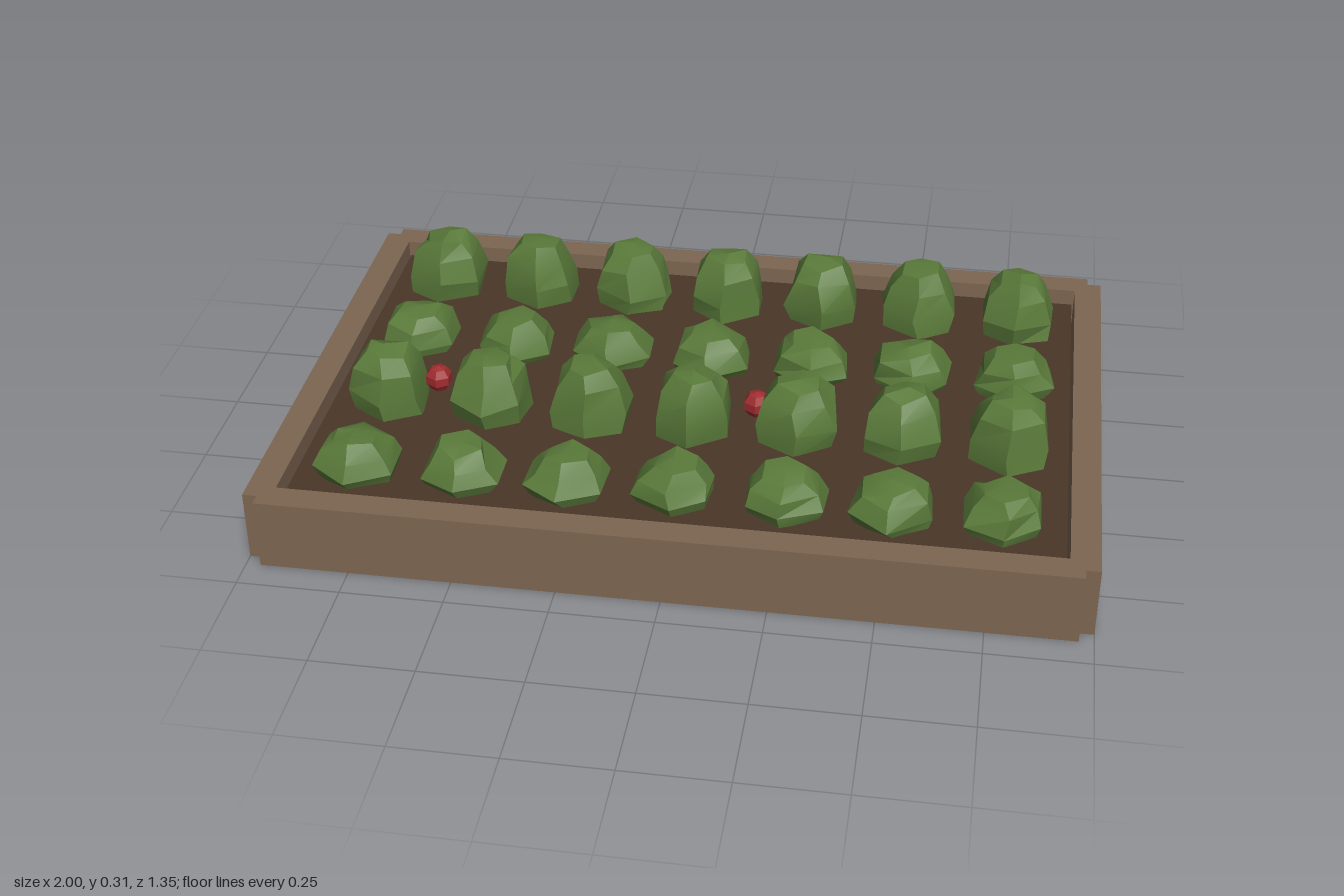
import * as THREE from 'three';
import { toCreasedNormals } from 'three/addons/utils/BufferGeometryUtils.js';

function material(name, color) {
  const m = new THREE.MeshStandardMaterial({ color });
  m.name = name;
  return m;
}

// Small seeded generator giving values in -1..1
function seeded(seed) {
  let s = seed;
  return () => {
    s = (s * 16807) % 2147483647;
    return (s / 2147483647) * 2 - 1;
  };
}

// Faceted six-sided dome from [radius, height] rings and an apex
function domeGeometry(rings, apex, rand) {
  const sides = 6, pts = [], index = [];
  rings.forEach(([r, y], k) => {
    for (let i = 0; i < sides; i++) {
      const a = (i / sides) * Math.PI * 2 + rand() * 0.13;
      const rr = r * (1 + rand() * 0.08);
      pts.push(Math.sin(a) * rr, y + (k ? rand() * 0.01 : 0), Math.cos(a) * rr);
    }
  });
  pts.push(rand() * 0.015, apex, rand() * 0.015);
  const top = rings.length * sides;
  for (let k = 0; k < rings.length; k++) {
    for (let i = 0; i < sides; i++) {
      const j = (i + 1) % sides;
      const a = k * sides + i, b = k * sides + j;
      if (k === rings.length - 1) index.push(a, b, top);
      else index.push(a, b, b + sides, a, b + sides, a + sides);
    }
  }
  const g = new THREE.BufferGeometry();
  g.setAttribute('position', new THREE.Float32BufferAttribute(pts, 3));
  g.setIndex(index);
  return toCreasedNormals(g, 0.42);
}

export function createModel() {
  const model = new THREE.Group();
  model.name = 'gardenBed';
  const wood = material('wood', 0x7d6652);
  const soil = material('soil', 0x4a3728);
  const leaf = material('leaf', 0x5a7a3a);
  const berryRed = material('berryRed', 0xa02c30);

  const add = (name, geometry, mat, x, y, z) => {
    const mesh = new THREE.Mesh(geometry, mat);
    mesh.name = name;
    mesh.position.set(x, y, z);
    model.add(mesh);
    return mesh;
  };

  // Plank frame, with the corners stepped in
  for (const s of [-1, 1]) {
    add(s > 0 ? 'frontPlank' : 'backPlank', new THREE.BoxGeometry(1.93, 0.18, 0.07), wood, 0, 0.09, s * 0.64);
    add(s > 0 ? 'leftPlank' : 'rightPlank', new THREE.BoxGeometry(0.07, 0.18, 1.29), wood, s * 0.965, 0.09, 0);
  }

  // Soil, leaving a narrow gap inside the frame
  add('soil', new THREE.BoxGeometry(1.85, 0.135, 1.2), soil, 0, 0.0725, 0);

  // Four rows of shrubs, alternately tall and low
  const tall = [[0.1, 0.13], [0.105, 0.19], [0.088, 0.255], [0.056, 0.294]];
  const low = [[0.09, 0.13], [0.108, 0.165], [0.088, 0.207], [0.056, 0.235]];
  const rand = seeded(4711);
  for (let row = 0; row < 4; row++) {
    const isTall = row % 2 === 0;
    for (let col = 0; col < 7; col++) {
      const geometry = domeGeometry(isTall ? tall : low, isTall ? 0.307 : 0.244, rand);
      add(isTall ? 'tallShrub' : 'lowShrub', geometry, leaf, (col - 3) * 0.259, 0, -0.46 + row * 0.3);
    }
  }

  // Berries beside two of the shrubs
  for (const x of [-0.65, 0.155]) {
    const g = new THREE.SphereGeometry(0.035, 6, 5).toNonIndexed();
    g.computeVertexNormals();
    add('berry', g, berryRed, x, 0.222, 0.14).rotation.y = Math.PI / 6;
  }
  return model;
}
